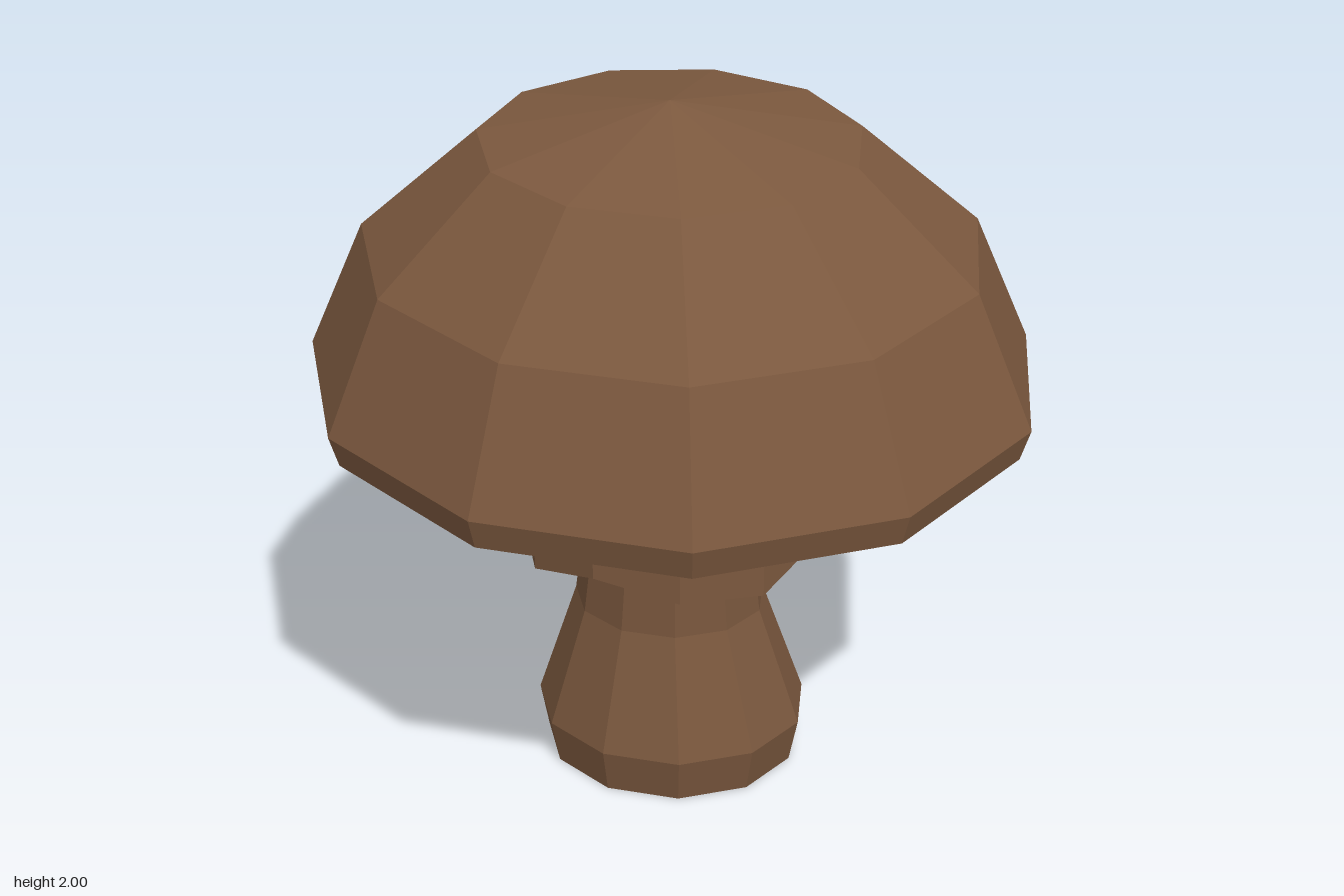
import * as THREE from 'three';

const SIDES = 11;
const START = THREE.MathUtils.degToRad(11.6);
const DEPTH = 0.9; // the whole plant is slightly narrower in z than in x

// One cross-section: radius r, centre (cx, y, cz), tilt = slope along z, wave = height offset per corner
function ring(r, y, { cx = 0, cz = 0, tilt = 0, wave = null } = {}) {
  return Array.from({ length: SIDES }, (_, k) => {
    const t = START + (k / SIDES) * Math.PI * 2;
    const dx = r * Math.cos(t), dz = r * DEPTH * Math.sin(t);
    return [cx + dx, y + tilt * dz - (tilt ? 0.01 * dx : 0) + (wave ? wave[k] : 0), cz + dz];
  });
}

// Joins cross-sections, listed from bottom to top, with faceted faces
function loft(name, rings, material) {
  const positions = [];
  const tri = (a, b, c) => {
    const same = (p, q) => p.every((v, i) => Math.abs(v - q[i]) < 1e-6);
    if (!same(a, b) && !same(b, c) && !same(a, c)) positions.push(...a, ...b, ...c);
  };
  for (let i = 0; i < rings.length - 1; i++) {
    for (let k = 0; k < SIDES; k++) {
      const n = (k + 1) % SIDES;
      const low = rings[i], high = rings[i + 1];
      tri(low[k], high[k], low[n]);
      tri(low[n], high[k], high[n]);
    }
  }
  const geometry = new THREE.BufferGeometry();
  geometry.setAttribute('position', new THREE.Float32BufferAttribute(positions, 3));
  geometry.computeVertexNormals();
  const mesh = new THREE.Mesh(geometry, material);
  mesh.name = name;
  return mesh;
}

export function createModel() {
  const group = new THREE.Group();
  group.name = 'mushroom';
  const brown = new THREE.MeshStandardMaterial({ color: 0x7b583e, flatShading: true });
  brown.name = 'brown';

  // Stem: flared foot, leaning slightly forward as it rises
  group.add(loft('stem', [
    ring(0, 0, { cx: -0.015, cz: -0.075 }),
    ring(0.368, 0, { cx: -0.015, cz: -0.075 }),
    ring(0.392, 0.137, { cx: -0.013, cz: -0.068 }),
    ring(0.272, 0.5, { cx: -0.015, cz: -0.05 }),
    ring(0.247, 0.71, { cx: -0.01, cz: -0.03 }),
    ring(0.236, 1.12),
  ], brown));

  // Skirt: flaring collar with an uneven hem
  const hem = [0.05, -0.02, -0.01, 0.035, -0.03, 0.02, 0.03, -0.01, -0.03, 0.015, -0.03];
  const skirtCentre = { cx: -0.005, cz: -0.025 };
  group.add(loft('skirt', [
    ring(0.22, 0.77, { cx: -0.01, cz: -0.025 }),
    ring(0.425, 0.72, { ...skirtCentre, wave: hem }),
    ring(0.425, 0.81, { ...skirtCentre, wave: hem }),
    ring(0.238, 1.05),
  ], brown));

  // Cap: faceted dome tipped towards the front, with a closed underside
  const tilt = -0.08;
  group.add(loft('cap', [
    ring(0, 1.11, { tilt }),
    ring(0.6, 1.09, { tilt }),
    ring(0.965, 1.17, { tilt }),
    ring(0.99, 1.255, { tilt }),
    ring(0.83, 1.61, { cz: 0.005, tilt }),
    ring(0.505, 1.895, { cz: 0.02, tilt }),
    ring(0, 2, { cz: 0.03, tilt }),
  ], brown));

  return group;
}
